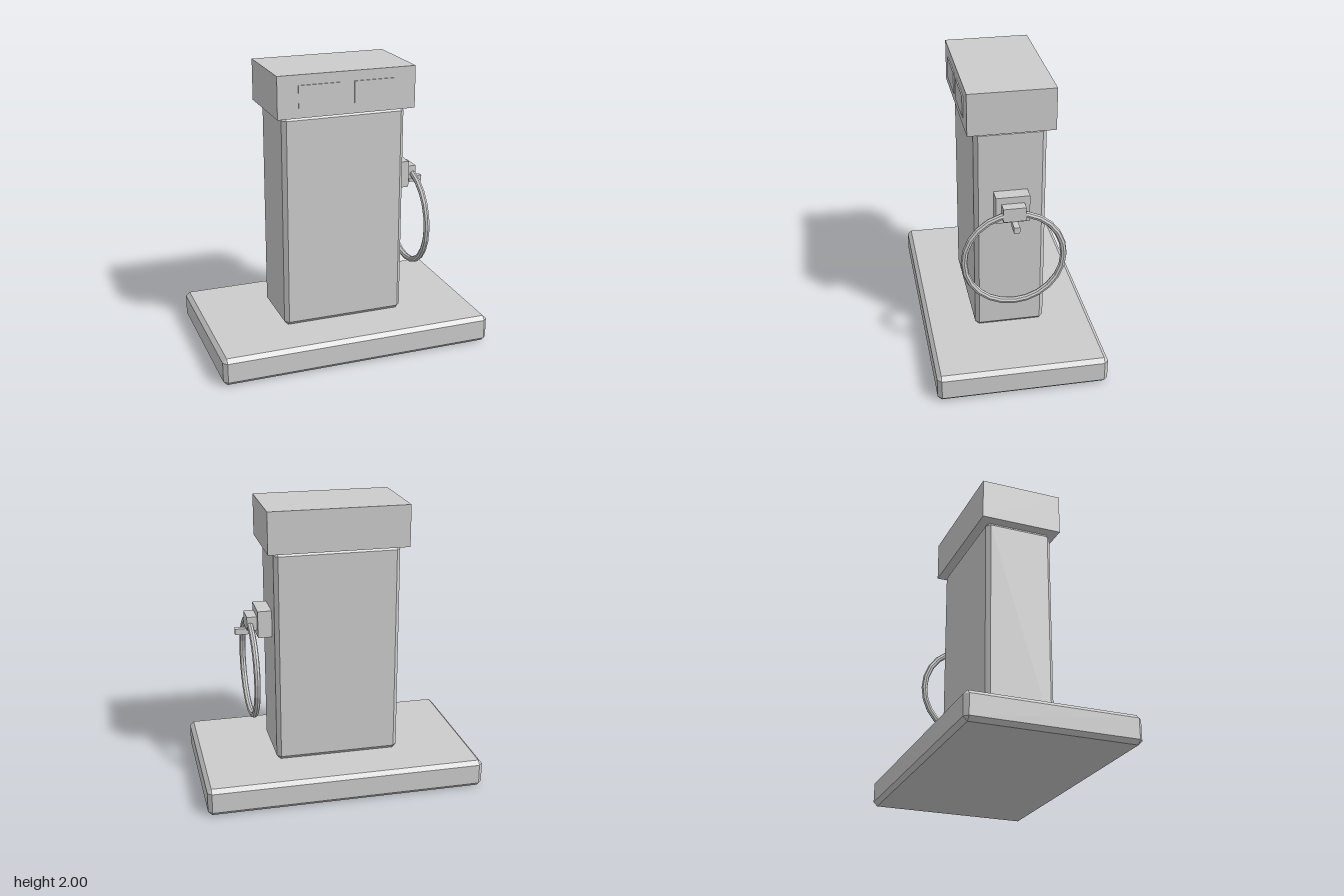
import * as THREE from 'three';
import { ConvexGeometry } from 'three/addons/geometries/ConvexGeometry.js';

const material = new THREE.MeshStandardMaterial({ color: 0xcccccc, flatShading: true });

// Box with all edges cut at 45 degrees
function chamferedBox(w, h, d, c) {
  const points = [];
  for (const x of [-1, 1]) for (const y of [-1, 1]) for (const z of [-1, 1]) {
    for (let axis = 0; axis < 3; axis++) {
      const inset = [c, c, c];
      inset[axis] = 0;
      points.push(new THREE.Vector3(
        x * (w / 2 - inset[0]), y * (h / 2 - inset[1]), z * (d / 2 - inset[2])));
    }
  }
  return new ConvexGeometry(points);
}

export function createModel() {
  const model = new THREE.Group();
  model.name = 'fuelPump';

  function add(name, geometry, x, y, z) {
    const mesh = new THREE.Mesh(geometry, material);
    mesh.name = name;
    mesh.position.set(x, y, z);
    model.add(mesh);
    return mesh;
  }

  // Box given by its lower and upper limits
  function addBox(name, [x0, x1], [y0, y1], [z0, z1]) {
    return add(name, new THREE.BoxGeometry(x1 - x0, y1 - y0, z1 - z0),
      (x0 + x1) / 2, (y0 + y1) / 2, (z0 + z1) / 2);
  }

  // Plinth, cabinet and head
  add('base', chamferedBox(1.95, 0.195, 1.17, 0.028), 0, 0.0975, 0);
  add('cabinet', chamferedBox(0.876, 1.515, 0.486, 0.028), 0, 0.9525, 0);
  addBox('head', [-0.486, 0.486], [1.71, 2], [-0.292, 0.292]);

  // Two display panels on the front of the head
  for (const side of [-1, 1]) {
    const panel = addBox('displayPanel', [-0.147, 0.147], [1.78, 1.93], [0.28, 0.3]);
    panel.position.x = side * 0.195;
  }

  // Nozzle and its holder on the left side
  addBox('nozzleHolder', [0.43, 0.535], [1.08, 1.27], [-0.115, 0.115]);
  addBox('nozzleBody', [0.53, 0.605], [1.125, 1.222], [-0.077, 0.077]);
  addBox('nozzleSpout', [0.585, 0.68], [1.08, 1.122], [-0.02, 0.02]);

  // Hose loop
  const hose = add('hose', new THREE.TorusGeometry(0.34, 0.022, 8, 24), 0.583, 0.83, 0);
  hose.rotation.y = Math.PI / 2;

  return model;
}
